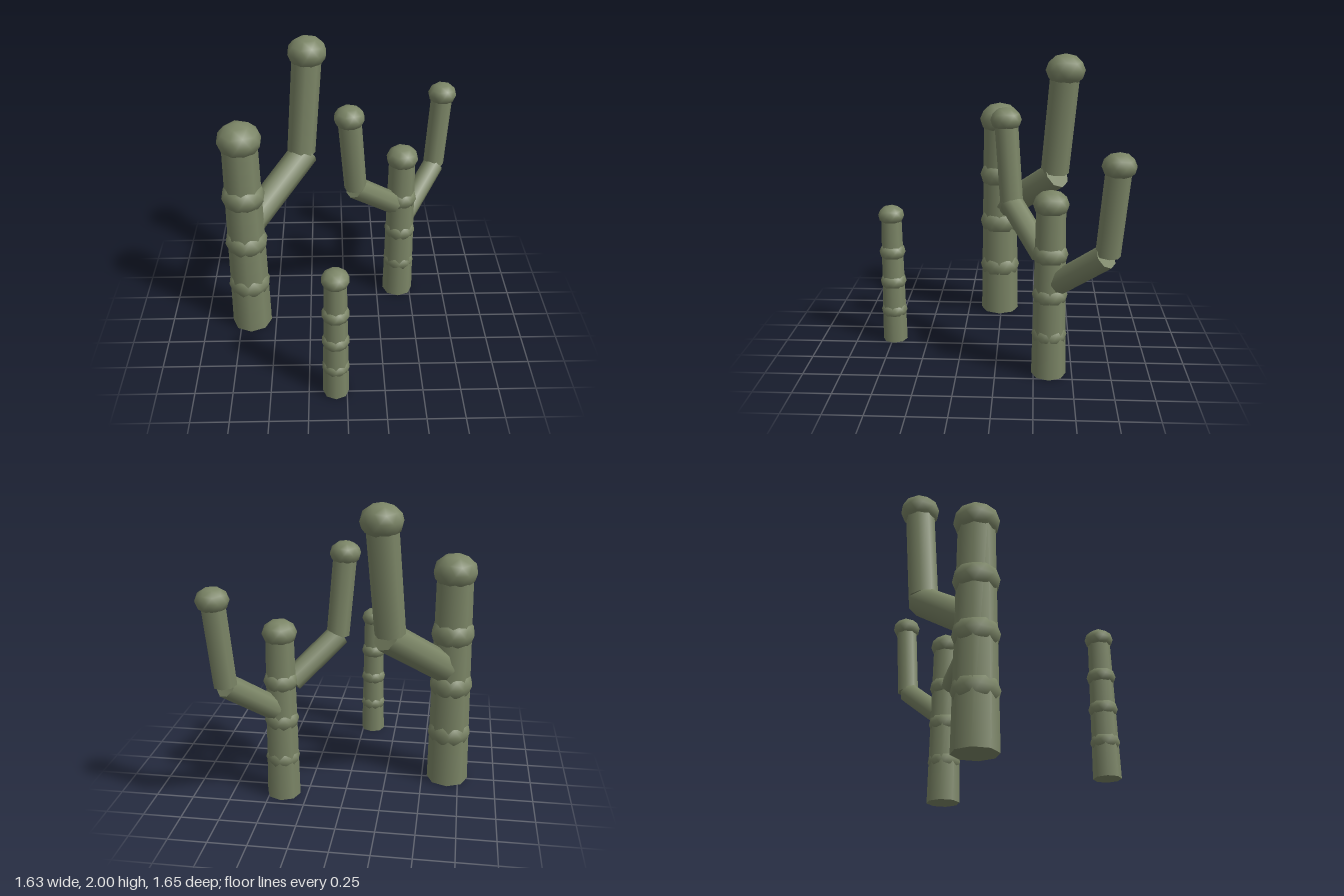
import * as THREE from 'three';

export function createModel() {
  const model = new THREE.Group();
  const green = new THREE.MeshStandardMaterial({ color: 0x7b8566 });
  green.name = 'cactusGreen';

  // Low-poly ball turned so that one corner points straight up
  const ball = new THREE.IcosahedronGeometry(1, 1);
  ball.rotateZ(Math.atan(2 / (1 + Math.sqrt(5))));

  const UP = new THREE.Vector3(0, 1, 0);

  // Tapered eight-sided stem between two points
  function stem(parent, name, from, to, r0, r1) {
    const a = new THREE.Vector3(...from), b = new THREE.Vector3(...to);
    const dir = b.clone().sub(a);
    const mesh = new THREE.Mesh(new THREE.CylinderGeometry(r1, r0, dir.length(), 8), green);
    mesh.position.copy(a).add(b).multiplyScalar(0.5);
    mesh.quaternion.setFromUnitVectors(UP, dir.normalize());
    mesh.name = name;
    parent.add(mesh);
  }

  // Flattened ball, used for the growth rings and the rounded tips
  function bulb(parent, name, [x, y, z], r, h) {
    const mesh = new THREE.Mesh(ball, green);
    mesh.position.set(x, y, z);
    mesh.scale.set(r, h, r);
    mesh.name = name;
    parent.add(mesh);
  }

  function cactus({ name, x, z, r0, r1, tip, rings, ringR, tipR, tipH, arms = [] }) {
    const g = new THREE.Group();
    g.name = name;
    stem(g, 'trunk', [x, 0, z], [x, tip, z], r0, r1);
    rings.forEach((y) => bulb(g, 'growthRing', [x, y, z], ringR, tipH));
    bulb(g, 'trunkTip', [x, tip, z], tipR, tipH);
    for (const a of arms) {
      stem(g, 'lowerArm', a.root, a.elbow, a.r, a.r);
      stem(g, 'upperArm', a.base, a.top, a.r * 0.98, a.r);
      bulb(g, 'armTip', a.top, a.tipR, a.tipH);
    }
    model.add(g);
  }

  cactus({
    name: 'tallCactus', x: -0.675, z: 0.013, r0: 0.14, r1: 0.118, tip: 1.485,
    rings: [0.36, 0.71, 1.07], ringR: 0.147, tipR: 0.147, tipH: 0.12,
    arms: [{
      root: [-0.625, 0.845, -0.04], elbow: [-0.27, 1.17, -0.40],
      base: [-0.295, 1.18, -0.385], top: [-0.24, 1.89, -0.443],
      r: 0.1, tipR: 0.134, tipH: 0.11,
    }],
  });

  cactus({
    name: 'forkedCactus', x: 0.41, z: -0.348, r0: 0.112, r1: 0.092, tip: 1.142,
    rings: [0.28, 0.55, 0.82], ringR: 0.113, tipR: 0.113, tipH: 0.09,
    arms: [
      {
        root: [0.35, 0.80, -0.30], elbow: [0.07, 1.06, -0.09],
        base: [0.075, 1.06, -0.095], top: [0.03, 1.6, -0.055],
        r: 0.077, tipR: 0.102, tipH: 0.082,
      },
      {
        root: [0.45, 0.645, -0.40], elbow: [0.675, 0.90, -0.67],
        base: [0.677, 0.91, -0.68], top: [0.715, 1.455, -0.722],
        r: 0.077, tipR: 0.102, tipH: 0.082,
      },
    ],
  });

  cactus({
    name: 'smallCactus', x: -0.073, z: 0.735, r0: 0.086, r1: 0.07, tip: 0.917,
    rings: [0.225, 0.44, 0.655], ringR: 0.091, tipR: 0.09, tipH: 0.07,
  });

  return model;
}
